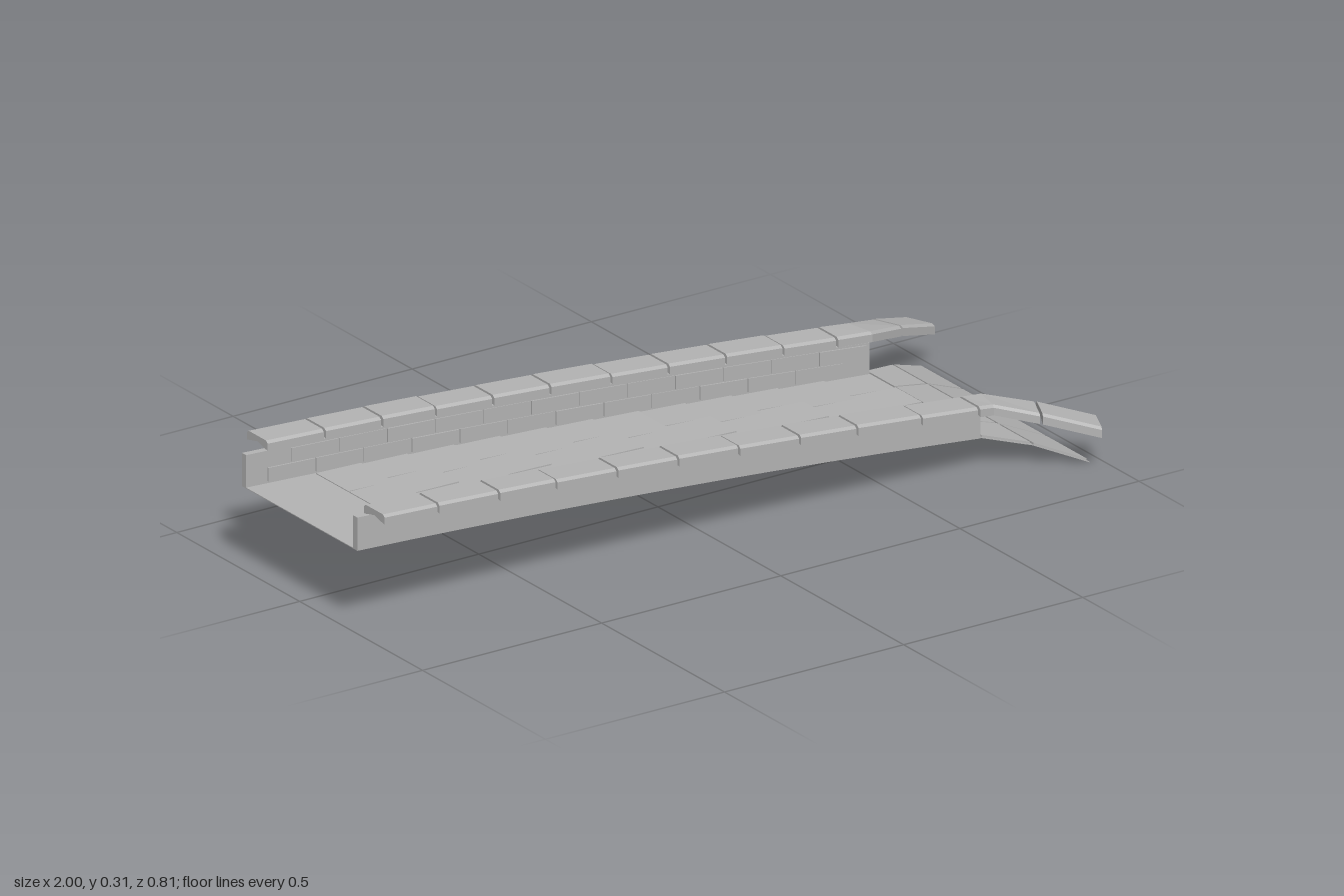
import * as THREE from 'three';
import { mergeGeometries } from 'three/addons/utils/BufferGeometryUtils.js';

// Closed loft through cross-sections ordered along +x; each loop runs +y then +z
function loft(sections) {
  const pos = [];
  const tri = (...pts) => pts.forEach((p) => pos.push(...p));
  const n = sections[0].length;
  for (let s = 0; s < sections.length - 1; s++) {
    const A = sections[s], B = sections[s + 1];
    for (let i = 0; i < n; i++) {
      const j = (i + 1) % n;
      tri(A[i], A[j], B[j]);
      tri(A[i], B[j], B[i]);
    }
  }
  const first = sections[0], last = sections[sections.length - 1];
  for (let i = 1; i < n - 1; i++) {
    tri(last[0], last[i], last[i + 1]);
    tri(first[0], first[i + 1], first[i]);
  }
  const g = new THREE.BufferGeometry();
  g.setAttribute('position', new THREE.Float32BufferAttribute(pos, 3));
  g.computeVertexNormals();
  return g;
}

// Rectangular cross-section at x
const rect = (x, y0, y1, z0, z1) => [[x, y0, z0], [x, y1, z0], [x, y1, z1], [x, y0, z1]];
const range = (a, b, n) => Array.from({ length: n + 1 }, (_, i) => a + ((b - a) * i) / n);

// Gently bowed slope of the walkway
const slope = (x) => 0.148 - 0.079 * x - 0.0172 * x * x;
const X0 = -1, X1 = 0.74;

// Height and sideways position of the coping, which flares out after the bend
function copingBase(x) {
  if (x <= X1) return slope(x) + 0.079;
  return x < 0.87
    ? THREE.MathUtils.mapLinear(x, X1, 0.87, slope(X1) + 0.079, 0.123)
    : THREE.MathUtils.mapLinear(x, 0.87, 0.98, 0.123, 0.083);
}
const FLARE = Math.atan2(0.105, 0.24);

function copingSection(x, side, lift) {
  const angle = x < X1 - 0.001 ? 0 : x < X1 + 0.001 ? FLARE / 2 : FLARE;
  const zc = 0.26 + Math.max(0, x - X1) * Math.tan(FLARE);
  const y = copingBase(x);
  // hollowed underside, upright sides, bevelled top
  const profile = [[0.01, 0], [0, -0.042], [0.019, -0.042], [0.025, -0.035],
    [0.025, 0.035], [0.019, 0.042], [0, 0.042]];
  const loop = profile.map(([h, w]) => [
    x - w * Math.sin(angle), y + h + (h > 0.015 ? lift : 0), side * (zc + w * Math.cos(angle)),
  ]);
  return side > 0 ? loop : [loop[0], ...loop.slice(1).reverse()];
}

export function createModel() {
  const model = new THREE.Group();
  const stone = new THREE.MeshStandardMaterial({ color: 0xb4b4b4, side: THREE.DoubleSide });
  stone.name = 'grey stone';
  const add = (name, geos) => {
    const mesh = new THREE.Mesh(mergeGeometries(geos), stone);
    mesh.name = name;
    model.add(mesh);
  };

  // Walkway bed
  add('walkwayBed', [loft(range(X0, X1, 12).map((x) =>
    rect(x, slope(x) - 0.003, slope(x) - 0.001, -0.235, 0.235)))]);

  // Paving slabs in staggered courses, each lifted a little at its downhill edge
  const slabs = [];
  const courses = range(-0.81, X1, 12);
  for (let c = 0; c < 12; c++) {
    const zs = c % 2 ? [-0.215, -0.11, 0, 0.11, 0.215] : [-0.215, -0.08, 0.08, 0.215];
    for (let k = 0; k < zs.length - 1; k++) {
      const a = courses[c] + 0.002, b = courses[c + 1] - 0.002;
      const lift = 0.004 + 0.0015 * ((c * 3 + k * 2) % 3);
      slabs.push(loft([
        rect(a, slope(a) - 0.002, slope(a) + 0.001, zs[k] + 0.002, zs[k + 1] - 0.002),
        rect(b, slope(b) - 0.002, slope(b) + lift, zs[k] + 0.002, zs[k + 1] - 0.002),
      ]));
    }
  }
  add('pavingSlabs', slabs);

  // Flared apron at the low end: x, y, half width
  const apron = [[X1, slope(X1), 0.235], [0.85, 0.053, 0.285], [0.97, 0.002, 0.342]];
  add('apronBed', [loft(apron.map(([x, y, w]) => rect(x, y - 0.002, y, -w, w)))]);
  const apronSlabs = [];
  for (let r = 0; r < 2; r++) {
    for (let k = 0; k < 4; k++) {
      const f0 = -1 + k / 2 + 0.012, f1 = -0.5 + k / 2 - 0.012;
      apronSlabs.push(loft([0.03, 0.97].map((t) => {
        const [x, y, w] = apron[r].map((v, i) => THREE.MathUtils.lerp(v, apron[r + 1][i], t));
        return rect(x, y - 0.001, y + 0.005, f0 * w, f1 * w);
      })));
    }
  }
  add('apronSlabs', apronSlabs);

  const joints = {
    1: [-0.97, -0.82, -0.65, -0.49, -0.32, -0.15, 0.02, 0.19, 0.35, 0.53, 0.69, 0.85, 0.98],
    '-1': [-0.94, -0.78, -0.62, -0.47, -0.31, -0.15, 0.02, 0.18, 0.34, 0.5, 0.65, 0.85, 0.98],
  };
  for (const side of [1, -1]) {
    const label = side > 0 ? 'front' : 'back';
    const span = (a, b) => [Math.min(side * a, side * b), Math.max(side * a, side * b)];

    // Side wall
    add(label + 'Wall', [loft(range(X0, X1, 12).map((x) =>
      rect(x, slope(x) - 0.003, slope(x) + 0.08, ...span(0.218, 0.235))))]);

    // Shallow blocks on the inner wall face, two staggered rows
    const blocks = [];
    for (let row = 0; row < 2; row++) {
      for (let i = 0; i < 12; i++) {
        const a = -0.94 + row * 0.065 + i * 0.134, b = a + 0.13;
        const depth = 0.214 + 0.001 * ((i + row) % 3);
        blocks.push(loft([a, b].map((x) => rect(x, slope(x) + 0.004 + row * 0.037,
          slope(x) + 0.038 + row * 0.037, ...span(depth, 0.22)))));
      }
    }
    add(label + 'WallBlocks', blocks);

    // Coping stones with narrow joints; one of them bends outward
    const xs = joints[side];
    add(label + 'Coping', xs.slice(0, -1).map((x, i) => {
      const a = i ? x + 0.003 : x;
      const b = i < xs.length - 2 ? xs[i + 1] - 0.003 : xs[i + 1];
      const stops = a < X1 && b > X1 ? [a, X1, b] : [a, b];
      return loft(stops.map((s) => copingSection(s, side, 0.001 * ((i % 3) - 1))));
    }));
  }
  return model;
}
